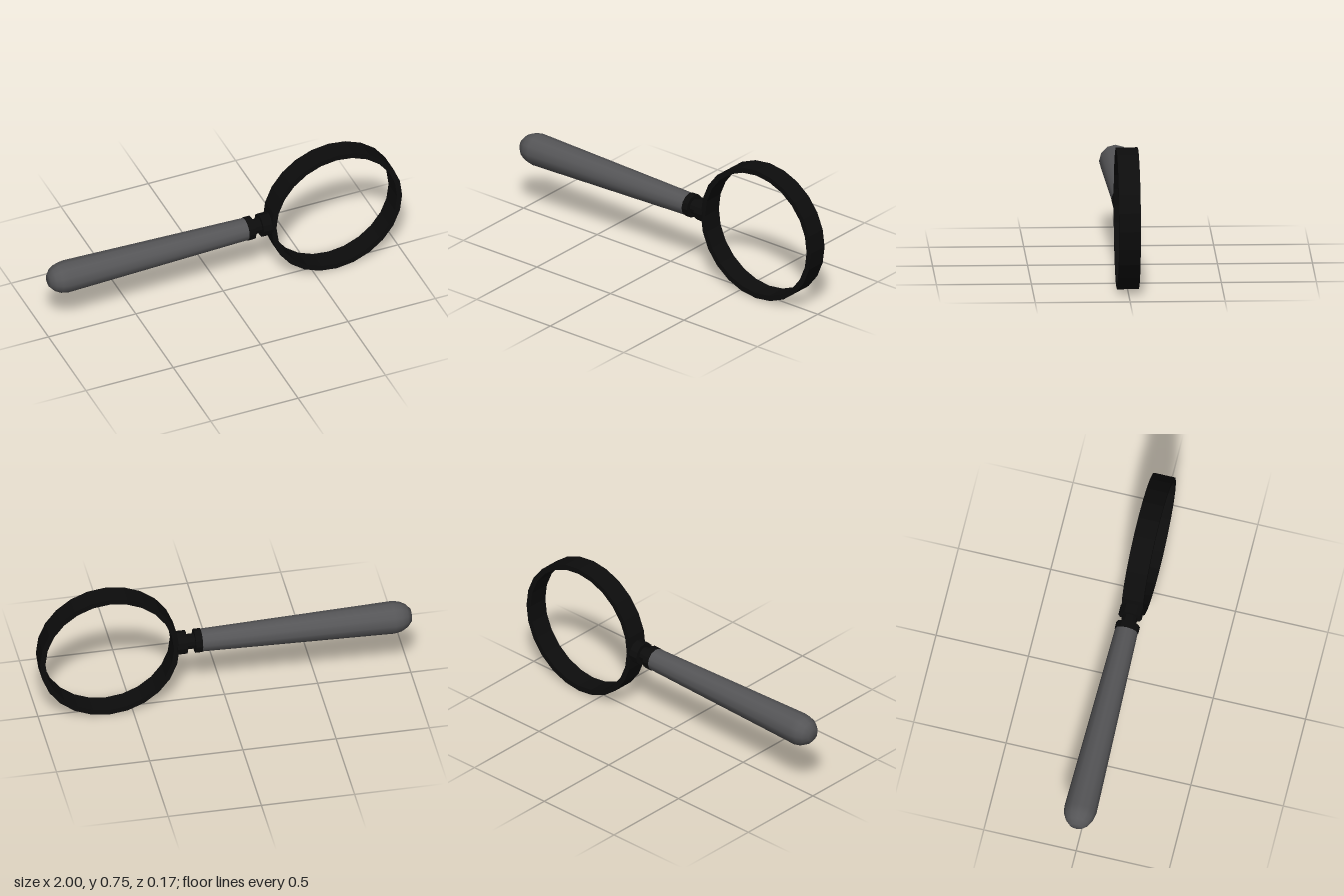
import * as THREE from 'three';

const AXIS_Y = 0.374;
const grip = new THREE.MeshStandardMaterial({ color: 0x555557 });
const black = new THREE.MeshStandardMaterial({ color: 0x0c0c0c, flatShading: true });

// Revolves [radius, position] pairs around the lathe axis
function turned(name, profile, sides, material) {
  const points = profile.map(([r, p]) => new THREE.Vector2(r, p));
  const mesh = new THREE.Mesh(new THREE.LatheGeometry(points, sides), material);
  mesh.name = name;
  mesh.position.y = AXIS_Y;
  return mesh;
}

export function createModel() {
  const model = new THREE.Group();
  model.name = 'magnifyingGlass';

  // Tapered handle with a rounded butt, lying along x
  const handle = turned('handle', [
    [0, -1], [0.035, -1], [0.062, -0.976], [0.079, -0.945], [0.087, -0.905],
    [0.061, 0.126], [0.061, 0.13],
  ], 12, grip);
  handle.rotation.z = -Math.PI / 2;
  model.add(handle);

  // Collar, narrow neck and second collar joining the handle to the rim
  const ferrule = turned('ferrule', [
    [0, 0.126], [0.064, 0.126], [0.064, 0.163], [0.041, 0.163],
    [0.041, 0.207], [0.063, 0.207], [0.063, 0.262], [0, 0.262],
  ], 12, black);
  ferrule.rotation.z = -Math.PI / 2;
  model.add(ferrule);

  // Open rim: a wide, thin band facing front and back
  const outer = 0.374, inner = 0.345, half = 0.057;
  const rim = turned('rim', [
    [outer, -half], [outer, half], [inner, half], [inner, -half], [outer, -half],
  ], 24, black);
  rim.rotation.x = Math.PI / 2;
  rim.position.x = 0.626;
  model.add(rim);

  return model;
}
